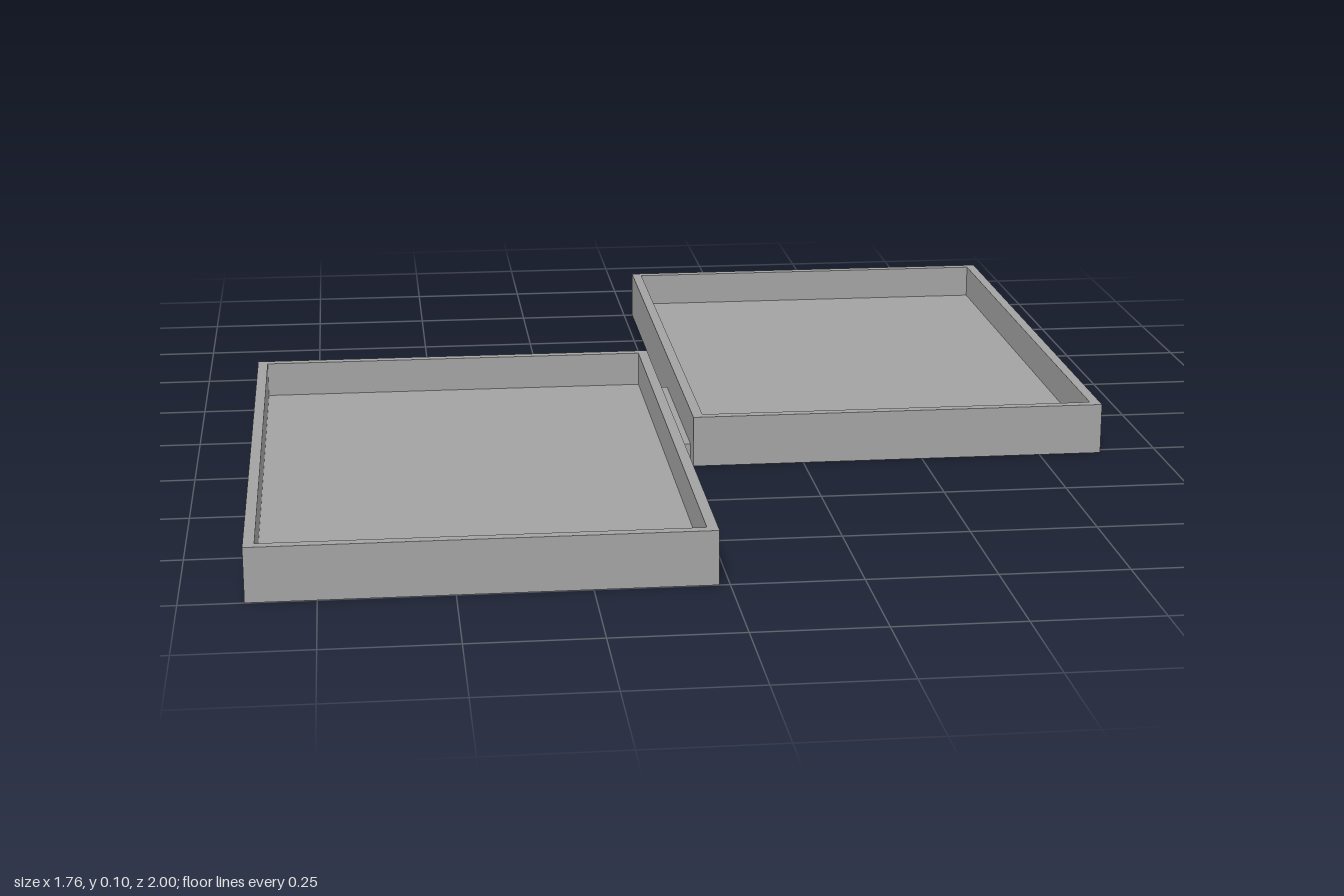
import * as THREE from 'three';

const WIDTH = 0.86, LENGTH = 1.27, HEIGHT = 0.105;
const WALL = 0.021, FLOOR = 0.033, GAP = 0.04;

const grey = new THREE.MeshStandardMaterial({ color: 0xa2a2a2 });
grey.name = 'grey';

// Closed rectangle, counter-clockwise, centred on the origin
function rectangle(Type, w, l) {
  const p = new Type();
  p.moveTo(-w / 2, -l / 2);
  p.lineTo(w / 2, -l / 2);
  p.lineTo(w / 2, l / 2);
  p.lineTo(-w / 2, l / 2);
  p.closePath();
  return p;
}

// Open shallow box: a floor slab with a rim wall around it
function createTray(name) {
  const tray = new THREE.Group();
  tray.name = name;
  const innerW = WIDTH - 2 * WALL, innerL = LENGTH - 2 * WALL;

  const outline = rectangle(THREE.Shape, WIDTH, LENGTH);
  outline.holes.push(rectangle(THREE.Path, innerW, innerL));
  const wallGeometry = new THREE.ExtrudeGeometry(outline, { depth: HEIGHT, bevelEnabled: false });
  wallGeometry.rotateX(-Math.PI / 2);
  const walls = new THREE.Mesh(wallGeometry, grey);
  walls.name = 'walls';

  const floor = new THREE.Mesh(new THREE.BoxGeometry(innerW, FLOOR, innerL), grey);
  floor.name = 'floor';
  floor.position.y = FLOOR / 2;

  tray.add(walls, floor);
  return tray;
}

export function createModel() {
  const model = new THREE.Group();
  model.name = 'hingedTrays';

  // Two equal trays, offset diagonally from each other
  for (const [name, side] of [['leftTray', 1], ['rightTray', -1]]) {
    const tray = createTray(name);
    tray.position.set(side * (GAP + WIDTH) / 2, 0, -side * (1 - LENGTH / 2));
    model.add(tray);
  }

  // Low strip joining the trays where they overlap
  const strip = new THREE.Mesh(new THREE.BoxGeometry(GAP, FLOOR, 0.44), grey);
  strip.name = 'connectingStrip';
  strip.position.y = FLOOR / 2;
  model.add(strip);

  return model;
}
